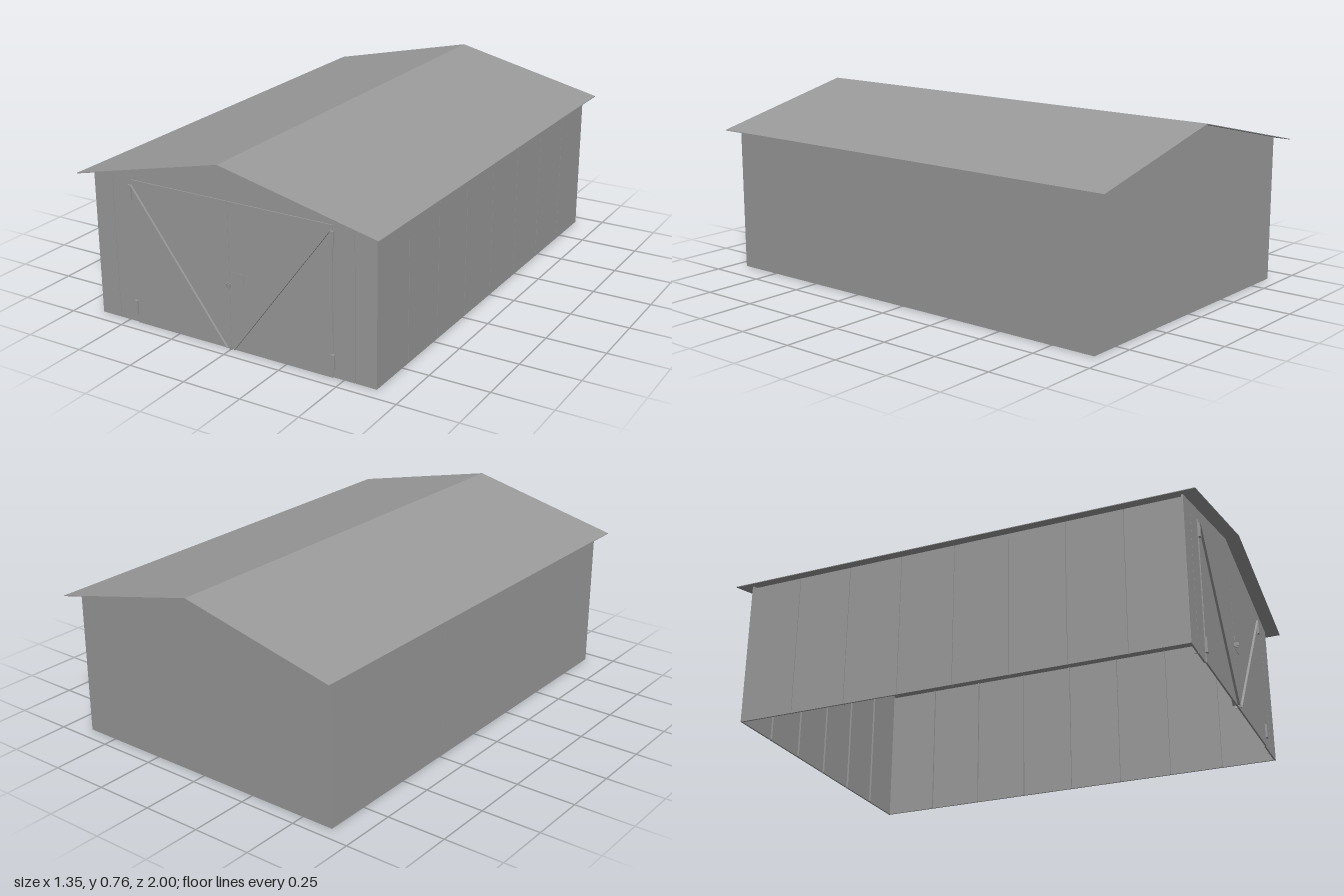
import * as THREE from 'three';

const HALF_W = 0.638, HALF_L = 0.942, EAVE = 0.606, SHEET = 0.007, GAP = 0.002;
const DOOR_W = 0.455, RIDGE = 0.765, ROOF_W = 0.675, ROOF_EDGE = 0.61, ROOF_T = 0.003;

export function createModel() {
  const model = new THREE.Group();
  model.name = 'shed';
  const material = new THREE.MeshStandardMaterial({ color: 0x9a9a9a, flatShading: true });

  const add = (parent, name, geometry, x, y, z) => {
    const mesh = new THREE.Mesh(geometry, material);
    mesh.name = name;
    mesh.position.set(x, y, z);
    parent.add(mesh);
    return mesh;
  };
  const box = (parent, name, w, h, d, x, y, z) =>
    add(parent, name, new THREE.BoxGeometry(w, h, d), x, y, z);
  const extrude = (points, depth) => new THREE.ExtrudeGeometry(
    new THREE.Shape(points.map(p => new THREE.Vector2(...p))), { depth, bevelEnabled: false });

  // A run of upright sheets from x0 to x1, outer face on z = 0, with folded seams behind
  const sheetWall = (name, x0, x1, count) => {
    const wall = new THREE.Group();
    wall.name = name;
    const w = (x1 - x0) / count;
    for (let i = 0; i < count; i++) {
      const x = x0 + (i + 0.5) * w;
      const left = i > 0 ? GAP / 2 : 0, right = i < count - 1 ? GAP / 2 : 0;
      box(wall, 'wallSheet', w - left - right, EAVE, SHEET, x + (left - right) / 2, EAVE / 2, -SHEET / 2);
      if (i > 0) box(wall, 'seam', 0.003, EAVE, 0.008, x - w / 2, EAVE / 2, -SHEET - 0.004);
    }
    model.add(wall);
    return wall;
  };

  // Side walls, eight sheets each
  for (const side of [1, -1]) {
    const wall = sheetWall(side > 0 ? 'leftWall' : 'rightWall', -HALF_L, HALF_L, 8);
    wall.rotation.y = side * Math.PI / 2;
    wall.position.x = side * HALF_W;
  }

  // Back wall and the two front strips beside the doors
  const back = sheetWall('backWall', -HALF_W, HALF_W, 6);
  back.rotation.y = Math.PI;
  back.position.z = -HALF_L;
  sheetWall('frontStripLeft', DOOR_W, HALF_W, 2).position.z = HALF_L;
  sheetWall('frontStripRight', -HALF_W, -DOOR_W, 2).position.z = HALF_L;

  // Gables under the roof
  const slope = (RIDGE - ROOF_EDGE) / ROOF_W;
  const roofUnder = x => RIDGE - ROOF_T - slope * Math.abs(x);
  const gable = extrude([[-HALF_W, EAVE], [HALF_W, EAVE], [HALF_W, roofUnder(HALF_W)],
    [0, roofUnder(0)], [-HALF_W, roofUnder(HALF_W)]], SHEET);
  add(model, 'frontGable', gable, 0, 0, HALF_L - SHEET);
  add(model, 'backGable', gable, 0, 0, -HALF_L);

  // Pitched roof sheet
  add(model, 'roof', extrude([[-ROOF_W, ROOF_EDGE - ROOF_T], [0, RIDGE - ROOF_T],
    [ROOF_W, ROOF_EDGE - ROOF_T], [ROOF_W, ROOF_EDGE], [0, RIDGE], [-ROOF_W, ROOF_EDGE]], 2), 0, 0, -1);

  // Pair of doors with diagonal braces, hinges and latches
  for (const side of [1, -1]) {
    const door = new THREE.Group();
    door.name = side > 0 ? 'leftDoor' : 'rightDoor';
    model.add(door);
    box(door, 'doorLeaf', DOOR_W - 0.0005, EAVE, SHEET,
      side * (DOOR_W + 0.0005) / 2, EAVE / 2, HALF_L + 0.001);

    const dx = DOOR_W - 0.02, dy = 0.585;
    const brace = box(door, 'brace', Math.hypot(dx, dy), 0.002, 0.03,
      side * (0.016 + dx / 2), 0.002 + dy / 2, HALF_L - 0.001);
    brace.rotation.z = side * Math.atan2(dy, dx);

    for (const y of [0.067, 0.555])
      box(door, 'hinge', 0.014, 0.06, 0.01, side * 0.457, y, HALF_L + 0.008);
    box(door, 'latchEye', 0.003, 0.016, 0.02, side * 0.006, 0.27, HALF_L + 0.013);
    box(door, 'floorBolt', 0.003, 0.012, 0.01, side * 0.004, 0.006, HALF_L + 0.008);
  }

  // Lock plate by the meeting edge of the doors
  box(model, 'lockPlate', 0.06, 0.07, 0.002, 0.034, 0.29, HALF_L + 0.005);
  return model;
}
